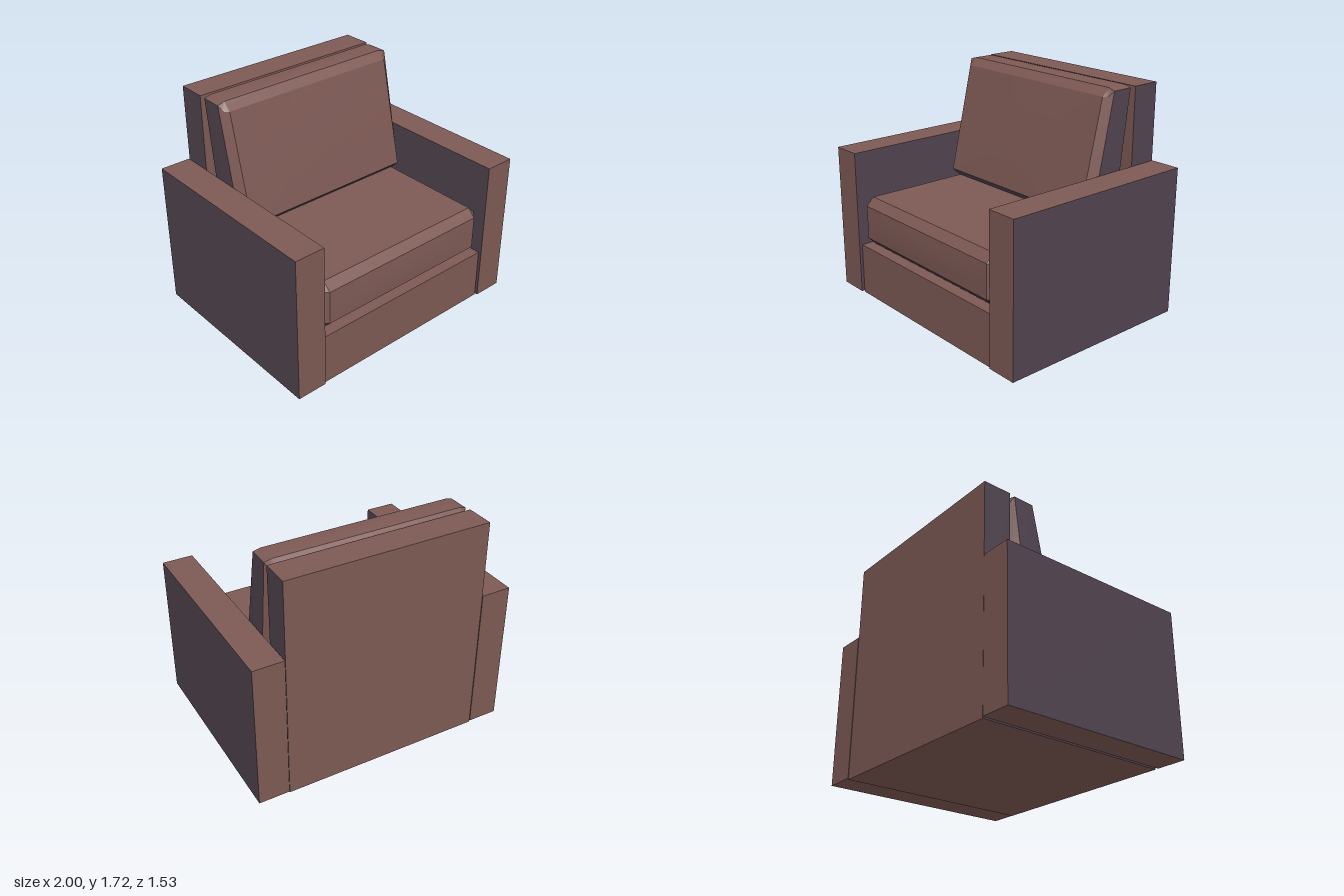
import * as THREE from 'three';
import { mergeVertices, toCreasedNormals } from 'three/addons/utils/BufferGeometryUtils.js';

const upholstery = new THREE.MeshStandardMaterial({ color: 0x7d5954 });
upholstery.name = 'brown upholstery';
const sides = new THREE.MeshStandardMaterial({ color: 0x50434e });
sides.name = 'dark plum sides';

// Box given by its minimum and maximum corners, with plum left and right faces
function panel(name, min, max) {
  const size = max.map((v, i) => v - min[i]);
  const geo = new THREE.BoxGeometry(...size);
  geo.translate(...min.map((v, i) => v + size[i] / 2));
  const mesh = new THREE.Mesh(geo, [sides, sides, upholstery, upholstery, upholstery, upholstery]);
  mesh.name = name;
  return mesh;
}

// Plum on the cushion's ends and underside, brown elsewhere
function addColourGroups(geo) {
  const pos = geo.attributes.position;
  const tri = new THREE.Triangle();
  const n = new THREE.Vector3();
  let start = 0;
  let current = -1;
  for (let i = 0; i < pos.count; i += 3) {
    tri.setFromAttributeAndIndices(pos, i, i + 1, i + 2);
    tri.getNormal(n);
    const index = Math.abs(n.x) > 0.9 || n.y < -0.5 ? 1 : 0;
    if (index !== current) {
      if (i > start) geo.addGroup(start, i - start, current);
      start = i;
      current = index;
    }
  }
  geo.addGroup(start, pos.count - start, current);
}

// Chamfered box with slightly puffed faces; endBevel is the height of the
// chamfer above and below the end faces, and warp(p) places each vertex
function cushion(name, half, bevel, endBevel, puff, warp) {
  const segments = 6;
  let geo = new THREE.BoxGeometry(2, 2, 2, segments, segments, segments);
  const pos = geo.attributes.position;
  const p = new THREE.Vector3();
  for (let i = 0; i < pos.count; i++) {
    const unit = [pos.getX(i), pos.getY(i), pos.getZ(i)];
    const outer = unit.map((u) => Math.abs(u) > 0.99);
    const count = outer.filter(Boolean).length;
    // edges and corners are pulled back onto the chamfer planes
    const pull = [0, 0, 0.5, 0.667][count];
    // 0 at the face rim, 1 at the face centre
    let swell = count === 1 ? puff : 0;
    unit.forEach((u, a) => {
      if (!outer[a]) swell *= 1 - (u * 1.5) ** 2;
    });
    const out = unit.map((u, a) => {
      const inset = a === 1 && outer[0] && !outer[2] ? endBevel : bevel;
      return outer[a]
        ? Math.sign(u) * (half[a] - pull * inset + (a === 0 ? swell * 0.3 : swell))
        : u * 1.5 * (half[a] - inset);
    });
    p.set(...out);
    warp(p);
    pos.setXYZ(i, p.x, p.y, p.z);
  }
  geo.deleteAttribute('uv');
  geo.deleteAttribute('normal');
  geo.clearGroups();
  geo = toCreasedNormals(mergeVertices(geo, 1e-5), 0.5);
  geo.clearGroups();
  addColourGroups(geo);
  const mesh = new THREE.Mesh(geo, [upholstery, sides]);
  mesh.name = name;
  return mesh;
}

export function createModel() {
  const group = new THREE.Group();
  group.name = 'armchair';

  // Frame
  group.add(panel('base', [-0.766, 0, -0.546], [0.766, 0.395, 0.745]));
  group.add(panel('backrest', [-0.766, 0, -0.765], [0.766, 1.7, -0.546]));
  group.add(panel('leftArm', [0.77, 0.01, -0.767], [1, 1.125, 0.767]));
  group.add(panel('rightArm', [-1, 0.01, -0.767], [-0.77, 1.125, 0.767]));

  // Seat cushion, y 0.405 to 0.785
  group.add(cushion('seatCushion', [0.757, 0.188, 0.632], 0.06, 0.06, 0.008, (p) => {
    p.y += 0.596;
    p.z += 0.097;
  }));

  // Back cushion: a leaning wedge, thinner at the top
  const halfDepth = 0.15;
  group.add(cushion('backCushion', [0.762, 0.46, halfDepth], 0.055, 0.015, 0.008, (p) => {
    p.y += 1.25;
    const front = -0.16 - 0.235 * (p.y - 1.12);
    const back = -0.49 - 0.1 * (p.y - 1.12);
    p.z = (front + back) / 2 + (p.z / halfDepth) * (front - back) / 2;
  }));

  return group;
}
